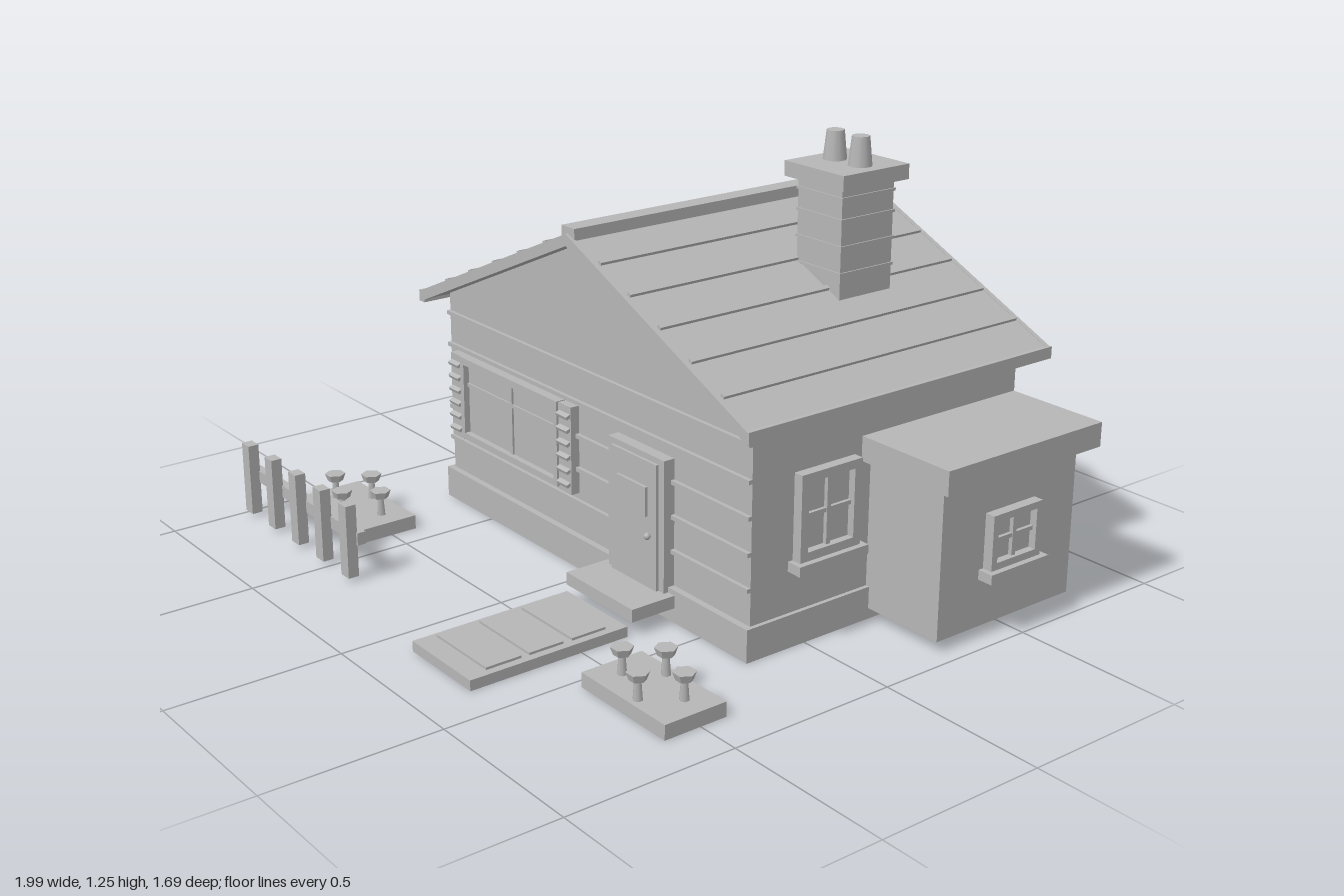
import * as THREE from 'three';

const grey = new THREE.MeshStandardMaterial({ color: 0xb6b6b6 });
grey.name = 'plain grey';

function add(parent, name, geometry, x = 0, y = 0, z = 0) {
  const mesh = new THREE.Mesh(geometry, grey);
  mesh.name = name;
  mesh.position.set(x, y, z);
  parent.add(mesh);
  return mesh;
}

// Box given by its extents on each axis
function block(parent, name, [x0, x1], [y0, y1], [z0, z1]) {
  return add(parent, name, new THREE.BoxGeometry(x1 - x0, y1 - y0, z1 - z0),
    (x0 + x1) / 2, (y0 + y1) / 2, (z0 + z1) / 2);
}

// Profile in x and y, pulled from z0 to z1
function prism(parent, name, points, z0, z1) {
  const shape = new THREE.Shape(points.map(([x, y]) => new THREE.Vector2(x, y)));
  const geometry = new THREE.ExtrudeGeometry(shape, { depth: z1 - z0, bevelEnabled: false });
  return add(parent, name, geometry, 0, 0, z0);
}

function group(parent, name, x = 0, y = 0, z = 0, turn = 0) {
  const g = new THREE.Group();
  g.name = name;
  g.position.set(x, y, z);
  g.rotation.y = turn;
  parent.add(g);
  return g;
}

// Sash window facing +z, standing on its sill at the wall surface
function windowUnit(parent, name, x, y, z, turn, w, h, frame = 0.025) {
  const g = group(parent, name, x, y, z, turn);
  const r = w / 2;
  block(g, 'glass', [-r + 0.01, r - 0.01], [0.01, h - 0.01], [0, 0.008]);
  for (const s of [-1, 1]) {
    const a = s * r, b = s * (r - frame);
    block(g, 'frameSide', [Math.min(a, b), Math.max(a, b)], [0, h], [0, 0.03]);
  }
  block(g, 'frameTop', [-r + frame, r - frame], [h - frame, h], [0, 0.03]);
  block(g, 'frameBottom', [-r + frame, r - frame], [0, frame], [0, 0.03]);
  block(g, 'verticalBar', [-0.007, 0.007], [frame, h - frame], [0, 0.02]);
  block(g, 'crossBar', [-r + frame, r - frame], [h / 2 - 0.006, h / 2 + 0.006], [0, 0.018]);
  block(g, 'sill', [-r - 0.016, r + 0.016], [-0.028, 0], [0, 0.047]);
  return g;
}

function flowerBed(parent, name, x) {
  const g = group(parent, name, x, 0, 0.515);
  block(g, 'soil', [-0.17, 0.17], [0, 0.042], [-0.096, 0.096]);
  for (const [fx, fz] of [[-0.1, 0.02], [-0.03, -0.065], [0.1, -0.02], [0.03, 0.07]]) {
    add(g, 'stem', new THREE.CylinderGeometry(0.009, 0.014, 0.065, 6), fx, 0.072, fz);
    const head = new THREE.CylinderGeometry(0.031, 0.023, 0.022, 6).toNonIndexed();
    head.computeVertexNormals();
    add(g, 'flowerHead', head, fx, 0.108, fz).rotation.y = Math.PI / 6;
  }
}

export function createModel() {
  const model = new THREE.Group();
  model.name = 'cottage';
  const cx = -0.027, slope = 0.447, run = 0.76, angle = Math.atan(slope);

  // Walls and plinth
  block(model, 'plinth', [-0.742, 0.688], [0, 0.095], [-0.787, 0.2]);
  prism(model, 'walls', [[cx - 0.703, 0.09], [cx + 0.703, 0.09], [cx + 0.703, 0.656],
    [cx, 0.97], [cx - 0.703, 0.656]], -0.775, 0.18);
  for (let i = 2; i <= 6; i++) {
    const y = i * 0.1 - 0.003;
    block(model, 'sidingStrip', [-0.73, 0.676], [y - 0.006, y + 0.006], [0.18, 0.192]);
  }

  // Roof with battens, eave boards and ridge cap
  const roof = group(model, 'roof');
  const chevron = (top, thick) => {
    const edge = top - slope * run;
    return [[cx, top - thick], [cx + run, edge - thick], [cx + run, edge],
      [cx, top], [cx - run, edge], [cx - run, edge - thick]];
  };
  prism(roof, 'roofSlab', chevron(1.0, 0.03), -0.835, 0.24);
  for (const z of [-0.847, 0.235]) prism(roof, 'gableBoard', chevron(1.002, 0.034), z, z + 0.014);
  for (const s of [-1, 1]) {
    const ex = cx + s * 0.752;
    block(roof, 'eaveBoard', [ex - 0.014, ex + 0.014], [0.63, 0.664], [-0.847, 0.249]);
    for (let i = 0; i < 5; i++) {
      const d = 0.127 + i * 0.128;
      const batten = add(roof, 'batten', new THREE.BoxGeometry(0.014, 0.014, 1.06),
        cx + s * d, 1.002 - slope * d, -0.3);
      batten.rotation.z = -s * angle;
    }
  }
  block(roof, 'ridgeCap', [cx - 0.029, cx + 0.029], [0.985, 1.02], [-0.838, 0.24]);

  // Chimney with mortar bands and two pots
  const chimney = group(model, 'chimney', 0.316, 0, -0.45);
  block(chimney, 'stack', [-0.088, 0.088], [0.8, 1.125], [-0.095, 0.095]);
  for (const y of [0.88, 0.955, 1.03, 1.09])
    block(chimney, 'mortarBand', [-0.092, 0.092], [y - 0.004, y + 0.004], [-0.099, 0.099]);
  block(chimney, 'chimneyCap', [-0.118, 0.118], [1.12, 1.163], [-0.121, 0.121]);
  for (const x of [-0.048, 0.052])
    add(chimney, 'chimneyPot', new THREE.CylinderGeometry(0.025, 0.034, 0.085, 10), x, 1.203, 0);

  // Side extension with a flat roof
  block(model, 'extension', [0.66, 0.945], [0.032, 0.47], [-0.732, -0.23]);
  block(model, 'extensionRoof', [0.67, 0.99], [0.463, 0.533], [-0.774, -0.197]);

  // Windows on the sides and back
  const q = Math.PI / 2;
  windowUnit(model, 'rightWindow', 0.676, 0.243, -0.067, q, 0.21, 0.245);
  windowUnit(model, 'extensionWindow', 0.945, 0.198, -0.483, q, 0.185, 0.157, 0.02);
  for (const z of [-0.5, -0.085])
    windowUnit(model, 'leftWindow', -0.73, 0.243, z, -q, 0.21, 0.245);
  for (const x of [0.255, -0.305])
    windowUnit(model, 'backWindow', x, 0.293, -0.775, Math.PI, 0.215, 0.245);

  // Wide front window with slatted shutters
  const front = group(model, 'frontWindow', -0.38, 0.23, 0.18);
  block(front, 'glass', [-0.24, 0.24], [0.01, 0.25], [0, 0.016]);
  block(front, 'frameTop', [-0.25, 0.25], [0.235, 0.257], [0, 0.035]);
  block(front, 'frameBottom', [-0.25, 0.25], [0, 0.018], [0, 0.035]);
  for (const x of [-0.241, 0.241])
    block(front, 'frameSide', [x - 0.009, x + 0.009], [0.018, 0.235], [0, 0.035]);
  block(front, 'verticalBar', [-0.006, 0.006], [0.018, 0.235], [0, 0.022]);
  block(front, 'crossBar', [-0.232, 0.232], [0.165, 0.175], [0, 0.022]);
  for (const x of [-0.28, 0.28]) {
    block(front, 'shutter', [x - 0.03, x + 0.03], [-0.008, 0.255], [0, 0.028]);
    for (let i = 0; i < 6; i++) {
      const slat = add(front, 'shutterSlat', new THREE.BoxGeometry(0.052, 0.01, 0.022),
        x, 0.022 + i * 0.041, 0.03);
      slat.rotation.x = 0.4;
    }
  }

  // Front door, step and garden path
  const door = group(model, 'door', 0.238, 0, 0.18);
  block(door, 'doorFrame', [-0.123, 0.123], [0.08, 0.462], [0, 0.035]);
  block(door, 'doorLeaf', [-0.1, 0.1], [0.08, 0.445], [0.03, 0.044]);
  block(door, 'doorWindow', [-0.064, 0.064], [0.288, 0.373], [0.044, 0.053]);
  add(door, 'doorKnob', new THREE.SphereGeometry(0.01, 8, 6), 0.072, 0.235, 0.052);
  block(model, 'doorStep', [0.09, 0.388], [0.043, 0.08], [0.18, 0.342]);
  block(model, 'path', [0.102, 0.378], [0, 0.03], [0.35, 0.845]);
  for (const z of [0.46, 0.595, 0.728])
    block(model, 'pavingSlab', [0.12, 0.355], [0.03, 0.037], [z - 0.054, z + 0.054]);

  // Flower beds
  flowerBed(model, 'leftBed', 0.7);
  flowerBed(model, 'rightBed', -0.75);

  // Picket fence
  const fence = group(model, 'fence');
  block(fence, 'rail', [-1, -0.36], [0.108, 0.145], [0.712, 0.738]);
  for (let i = 0; i < 5; i++) {
    const x = -0.97 + i * 0.1455;
    block(fence, 'picket', [x - 0.021, x + 0.021], [0.012, 0.23], [0.735, 0.768]);
  }
  return model;
}
